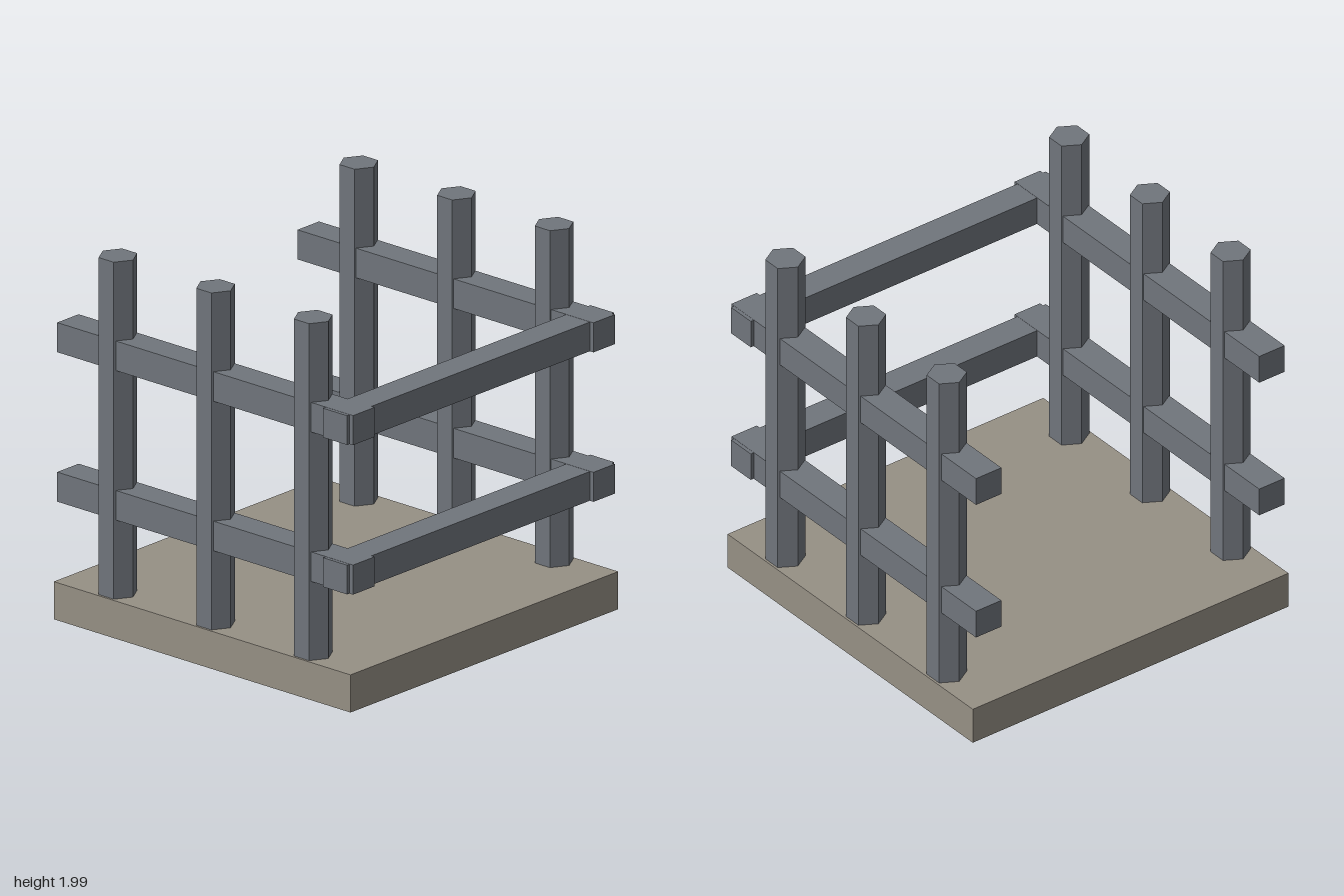
import * as THREE from 'three';

export function createModel() {
  const group = new THREE.Group();
  const stone = new THREE.MeshStandardMaterial({ color: 0x969085, flatShading: true });
  const metal = new THREE.MeshStandardMaterial({ color: 0x70757c, flatShading: true });

  const add = (name, geometry, material, x, y, z) => {
    const mesh = new THREE.Mesh(geometry, material);
    mesh.name = name;
    mesh.position.set(x, y, z);
    group.add(mesh);
    return mesh;
  };

  // Floor slab
  add('floorSlab', new THREE.BoxGeometry(1.99, 0.2, 1.99), stone, 0, 0.1, 0);

  // Hexagonal posts, three along each side, with corners pointing front and back
  const post = new THREE.CylinderGeometry(0.101, 0.101, 1.79, 6);
  for (const side of [-1, 1]) {
    for (const z of [-0.655, 0, 0.655]) {
      add(side > 0 ? 'leftPost' : 'rightPost', post, metal, side * 0.895, 1.095, z);
    }
  }

  // Two levels of rails: one along each side and one across the front
  const sideRail = new THREE.BoxGeometry(0.16, 0.157, 1.985);
  const frontRail = new THREE.BoxGeometry(1.985, 0.155, 0.16);
  for (const y of [0.698, 1.492]) {
    add('leftRail', sideRail, metal, 0.893, y, 0);
    add('rightRail', sideRail, metal, -0.893, y, 0);
    add('frontRail', frontRail, metal, 0, y, 0.89);
  }

  return group;
}
